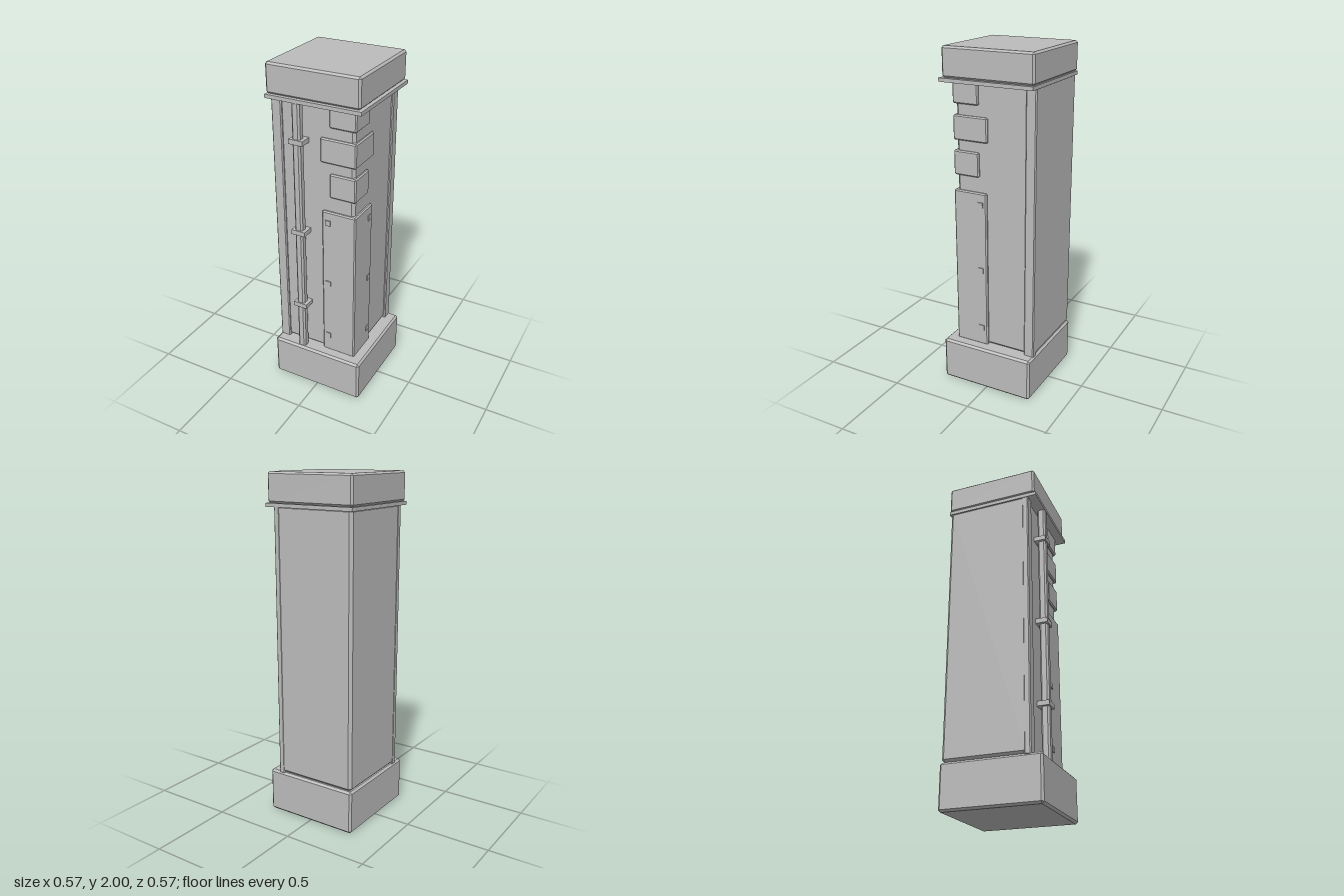
import * as THREE from 'three';
import { ConvexGeometry } from 'three/addons/geometries/ConvexGeometry.js';

const stone = new THREE.MeshStandardMaterial({ color: 0xbcbcbc });
stone.name = 'grey stone';

// Box between two corners, with every edge chamfered by c
function chamferBox([x0, y0, z0], [x1, y1, z1], c) {
  const points = [];
  for (const [x, dx] of [[x0, 1], [x1, -1]])
    for (const [y, dy] of [[y0, 1], [y1, -1]])
      for (const [z, dz] of [[z0, 1], [z1, -1]]) {
        points.push(
          new THREE.Vector3(x, y + dy * c, z + dz * c),
          new THREE.Vector3(x + dx * c, y, z + dz * c),
          new THREE.Vector3(x + dx * c, y + dy * c, z)
        );
      }
  return new ConvexGeometry(points);
}

function plainBox(a, b) {
  const size = b.map((v, i) => v - a[i]);
  const mid = b.map((v, i) => (v + a[i]) / 2);
  return new THREE.BoxGeometry(...size).translate(...mid);
}

export function createModel() {
  const group = new THREE.Group();
  group.name = 'cornerPillar';

  const add = (name, from, to, chamfer = 0) => {
    const geometry = chamfer ? chamferBox(from, to, chamfer) : plainBox(from, to);
    const mesh = new THREE.Mesh(geometry, stone);
    mesh.name = name;
    group.add(mesh);
  };

  // Plinth, shaft, ledge and cap
  add('base', [-0.286, 0, -0.286], [0.286, 0.258, 0.286], 0.012);
  add('shaft', [-0.28, 0.258, -0.28], [0.21, 1.825, 0.21], 0.016);
  add('ledge', [-0.286, 1.812, -0.286], [0.274, 1.833, 0.274]);
  add('cap', [-0.286, 1.833, -0.286], [0.262, 2, 0.262], 0.011);

  // Trim posts at the two far ends of the decorated faces
  add('frontPost', [-0.282, 0.25, 0.185], [-0.22, 1.82, 0.223], 0.006);
  add('sidePost', [0.185, 0.25, -0.282], [0.223, 1.82, -0.22], 0.006);

  // Corner stones, stacked below the ledge
  for (const [inner, y0, y1] of [[0.065, 1.693, 1.825], [0.01, 1.492, 1.632], [0.065, 1.293, 1.434]])
    add('cornerStone', [inner, y0, inner], [0.223, y1, 0.223], 0.007);

  // Tall corner guard with studs on both faces
  add('cornerGuard', [0.018, 0.255, 0.018], [0.225, 1.206, 0.225], 0.007);
  for (const y of [0.367, 0.738, 1.137]) {
    add('frontStud', [0.04, y - 0.016, 0.215], [0.072, y + 0.016, 0.231]);
    add('sideStud', [0.215, y - 0.016, 0.04], [0.231, y + 0.016, 0.072]);
  }

  // Vertical pipe and its brackets
  add('pipe', [-0.13, 0.25, 0.225], [-0.082, 1.82, 0.273], 0.01);
  for (const y of [0.564, 1.055, 1.6])
    add('pipeBracket', [-0.147, y - 0.014, 0.205], [-0.062, y + 0.014, 0.28]);

  return group;
}
